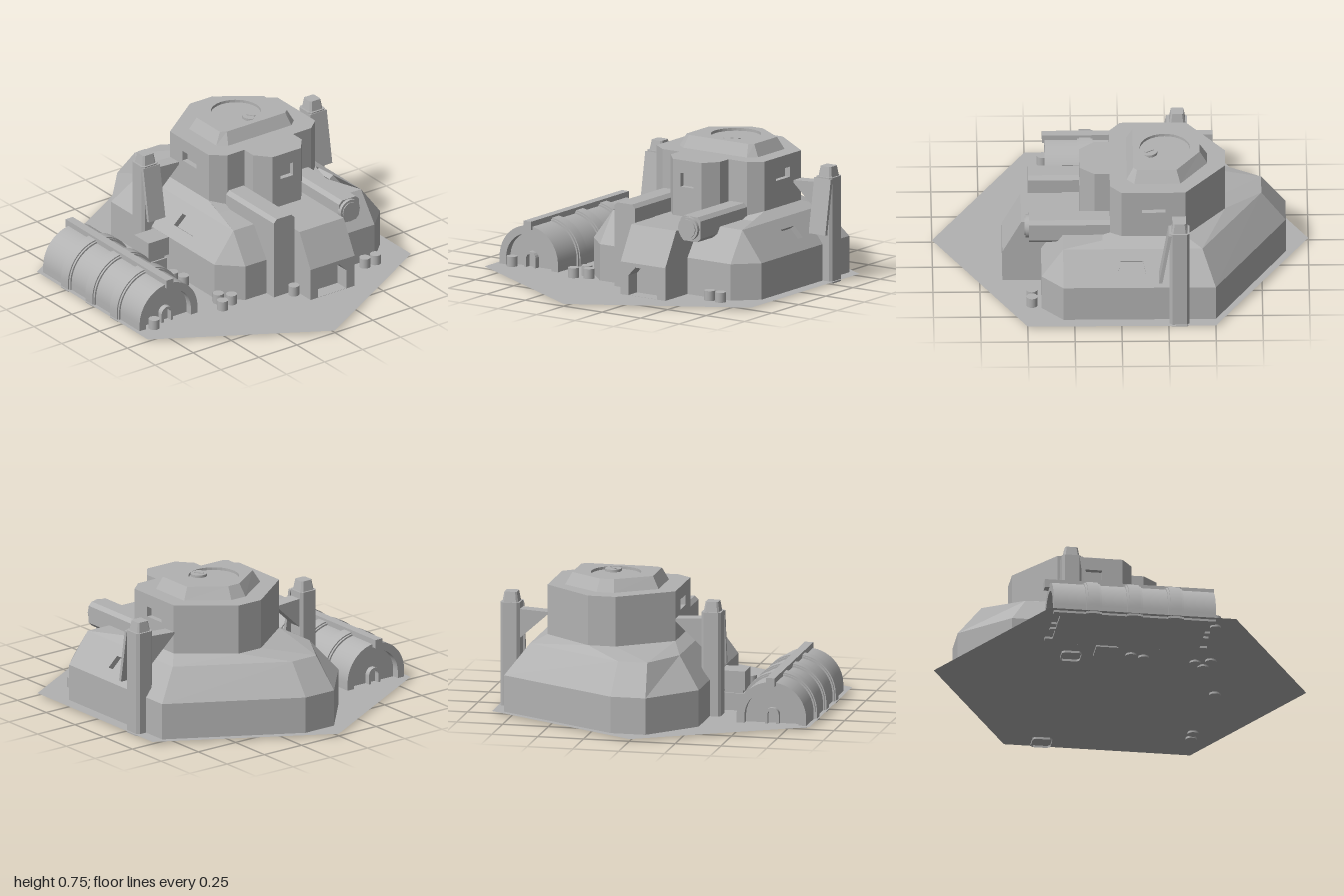
import * as THREE from 'three';
import { toCreasedNormals } from 'three/addons/utils/BufferGeometryUtils.js';

const concrete = new THREE.MeshStandardMaterial({ color: 0xb2b2b2, side: THREE.DoubleSide });
concrete.name = 'concreteGrey';
const V = (x, y, z) => new THREE.Vector3(x, y, z);

export function createModel() {
  const model = new THREE.Group();
  model.name = 'bunker';

  function add(name, geometry, x = 0, y = 0, z = 0) {
    const mesh = new THREE.Mesh(geometry, concrete);
    mesh.name = name;
    mesh.position.set(x, y, z);
    model.add(mesh);
    return mesh;
  }
  const box = (name, x0, x1, y0, y1, z0, z1) =>
    add(name, new THREE.BoxGeometry(x1 - x0, y1 - y0, z1 - z0), (x0 + x1) / 2, (y0 + y1) / 2, (z0 + z1) / 2);

  // One polygon, counter-clockwise from outside, with an optional recessed pocket
  function face(out, pts, hole, depth = 0.03) {
    const n = V(0, 0, 0);
    pts.forEach((p, i) => n.add(p.clone().cross(pts[(i + 1) % pts.length])));
    n.normalize();
    const u = pts[1].clone().sub(pts[0]).normalize();
    const v = n.clone().cross(u);
    const flat = (p) => new THREE.Vector2(p.dot(u), p.dot(v));
    let inner = [];
    if (hole) {
      inner = hole.slice();
      if (!THREE.ShapeUtils.isClockWise(inner.map(flat))) inner.reverse();
    }
    const all = [...pts, ...inner];
    THREE.ShapeUtils.triangulateShape(pts.map(flat), hole ? [inner.map(flat)] : [])
      .forEach((t) => t.forEach((i) => out.push(all[i].x, all[i].y, all[i].z)));
    if (hole) {
      const back = inner.map((p) => p.clone().addScaledVector(n, -depth));
      inner.forEach((p, i) => {
        const j = (i + 1) % inner.length;
        face(out, [p, back[i], back[j], inner[j]].reverse());
      });
      face(out, back.slice().reverse());
    }
  }
  // Walls through a stack of rings; holes maps "level,side" to a pocket outline
  function loft(rings, holes = {}, topHole, topDepth) {
    const out = [];
    for (let k = 0; k + 1 < rings.length; k++) {
      const a = rings[k], b = rings[k + 1];
      a.forEach((p, i) => {
        const j = (i + 1) % a.length;
        face(out, [p, a[j], b[j], b[i]], holes[k + ',' + i]);
      });
    }
    face(out, rings[rings.length - 1], topHole, topDepth);
    const g = new THREE.BufferGeometry();
    g.setAttribute('position', new THREE.Float32BufferAttribute(out, 3));
    g.computeVertexNormals();
    return g;
  }
  const ring = (pts, y) => pts.map(([x, z]) => V(x, y, z));

  // Extrude a (z, y) outline from x0 to x1
  function extrudeX(name, pts, x0, x1) {
    const shape = new THREE.Shape(pts.map(([z, y]) => new THREE.Vector2(-z, y)));
    const g = new THREE.ExtrudeGeometry(shape, { depth: x1 - x0, bevelEnabled: false });
    g.rotateY(Math.PI / 2);
    return add(name, toCreasedNormals(g, 0.5), x0);
  }

  // Ground plate
  const plate = new THREE.CircleGeometry(1, 6);
  plate.rotateX(-Math.PI / 2);
  add('groundPlate', plate, 0, 0.012, 0);

  // Hull: upright walls, sloped shoulders, roof rising to the turret
  const base = [[-0.62, 0.29], [0.31, 0.29], [0.425, 0.17], [0.425, -0.68], [0.31, -0.8], [-0.5, -0.8], [-0.88, -0.13], [-0.88, 0.06]];
  const shoulder = [[-0.53, 0.165], [0.31, 0.165], [0.31, 0.165], [0.31, -0.675], [0.31, -0.675], [-0.43, -0.675], [-0.75, -0.12], [-0.75, 0.04]];
  const roof = [[-0.35, 0.1, 0.41], [0, 0.1, 0.41], [0.1, 0.1, 0.375], [0.1, -0.6, 0.375], [0, -0.6, 0.41], [-0.34, -0.6, 0.41], [-0.555, -0.33, 0.41], [-0.555, -0.18, 0.41]]
    .map(([x, z, y]) => V(x, y, z));
  const slopeVent = (xa, xb, edge, dir) => {
    const at = (x, y) => V(x, y, edge - dir * 0.125 * (y - 0.21) / 0.165);
    return [at(xa, 0.265), at(xb, 0.265), at(xb - 0.015, 0.325), at(xa + 0.015, 0.325)];
  };
  add('hull', loft([ring(base, 0.012), ring(base, 0.21), ring(shoulder, 0.375), roof], {
    '1,0': slopeVent(-0.11, 0.06, 0.29, 1),
    '1,4': slopeVent(-0.13, 0.02, -0.8, -1),
  }));

  // Turret with a window in the front, right and back
  const turret = [[-0.35, 0.1], [0, 0.1], [0.06, 0.02], [0.06, -0.09], [0.14, -0.09], [0.22, -0.16], [0.22, -0.345],
    [0.14, -0.41], [0.06, -0.41], [0.06, -0.53], [0, -0.6], [-0.34, -0.6], [-0.555, -0.33], [-0.555, -0.18]];
  const windowZ = (z) => [V(-0.235, 0.555, z), V(-0.11, 0.555, z), V(-0.11, 0.61, z), V(-0.235, 0.61, z)];
  add('turret', loft([ring(turret, 0.36), ring(turret, 0.68)], {
    '0,0': windowZ(0.1),
    '0,10': windowZ(-0.6),
    '0,5': [V(0.22, 0.535, -0.21), V(0.22, 0.535, -0.295), V(0.22, 0.61, -0.295), V(0.22, 0.61, -0.21)],
  }));

  // Turret cap with a sunken round hatch
  const capLow = [[-0.315, 0], [-0.07, 0], [-0.03, -0.05], [-0.03, -0.465], [-0.07, -0.51], [-0.315, -0.51], [-0.46, -0.305], [-0.46, -0.21]];
  const capHigh = [[-0.295, -0.035], [-0.085, -0.035], [-0.065, -0.065], [-0.065, -0.45], [-0.085, -0.475], [-0.295, -0.475], [-0.42, -0.295], [-0.42, -0.22]];
  const rim = Array.from({ length: 32 }, (_, i) => {
    const a = i / 32 * Math.PI * 2;
    return V(-0.235 + 0.134 * Math.cos(a), 0.745, -0.25 - 0.134 * Math.sin(a));
  });
  add('turretCap', loft([ring(capLow, 0.68), ring(capHigh, 0.745)], {}, rim, 0.015));
  add('hatchKnob', new THREE.CylinderGeometry(0.045, 0.045, 0.014, 20), -0.15, 0.737, -0.285);
  const handle = add('hatchHandle', new THREE.BoxGeometry(0.05, 0.006, 0.014), -0.15, 0.745, -0.285);
  handle.rotation.y = 0.6;

  // Entrance with an arched doorway
  const gate = (x, y) => [V(x, y, -0.11), V(x, y, -0.4)];
  const section = (x) => [[0.012, x], [0.19, x], [0.375, x - 0.1]];
  const [g0, g1, g2] = section(0.63).map(([y, x]) => gate(x, y));
  const [b0, b1, b2] = [0.012, 0.19, 0.375].map((y) => gate(0.05, y));
  const entrance = [];
  const door = [[-0.16, 0.013], [-0.345, 0.013], [-0.345, 0.12], [-0.3, 0.168], [-0.205, 0.168], [-0.16, 0.12]].map(([z, y]) => V(0.63, y, z));
  face(entrance, [...g0, g1[1], g1[0]], door, 0.08);
  face(entrance, [...g1, g2[1], g2[0]]);
  face(entrance, [...g2, b2[1], b2[0]]);
  face(entrance, [b0[0], g0[0], g1[0], g2[0], b2[0], b1[0]]);
  face(entrance, [b0[1], g0[1], g1[1], g2[1], b2[1], b1[1]].reverse());
  const entranceGeo = new THREE.BufferGeometry();
  entranceGeo.setAttribute('position', new THREE.Float32BufferAttribute(entrance, 3));
  entranceGeo.computeVertexNormals();
  add('entrance', entranceGeo);

  // Buttress on one side of the entrance, beam with a round end on the other
  extrudeX('buttress', [[0.03, 0.012], [0.03, 0.45], [0.01, 0.47], [-0.085, 0.47], [-0.105, 0.45], [-0.105, 0.012]], 0.06, 0.49);
  extrudeX('beam', [[-0.4, 0.34], [-0.4, 0.435], [-0.42, 0.455], [-0.51, 0.455], [-0.53, 0.435], [-0.53, 0.34], [-0.51, 0.32], [-0.42, 0.32]], 0.06, 0.49);
  const round = (name, r, x0, x1) => {
    const g = new THREE.CylinderGeometry(r, r, x1 - x0, 24);
    g.rotateZ(Math.PI / 2);
    add(name, g, (x0 + x1) / 2, 0.39, -0.46);
  };
  round('beamEnd', 0.063, 0.48, 0.508);
  round('beamEndDisc', 0.05, 0.5, 0.513);

  // Two posts joined to the turret by gusset bridges
  const octagon = (cx, cz, h, c) => [[-h + c, h], [h - c, h], [h, h - c], [h, -h + c], [h - c, -h], [-h + c, -h], [-h, -h + c], [-h, h - c]]
    .map(([x, z]) => [cx + x, cz + z]);
  for (const [zc, dir, wall] of [[0.295, 1, 0.09], [-0.803, -1, -0.59]]) {
    const x = -0.307, inner = zc - dir * 0.04;
    add('post', loft([ring(octagon(x, zc, 0.053, 0.014), 0), ring(octagon(x, zc, 0.053, 0.014), 0.575)]));
    add('postTop', loft([ring(octagon(x, zc, 0.043, 0.01), 0.575), ring(octagon(x, zc, 0.034, 0.008), 0.63)]));
    extrudeX('bridge', [[wall, 0.525], [wall, 0.53], [inner, 0.54], [inner, 0.37]], -0.343, -0.27);
    const panel = add('postPanel', new THREE.BoxGeometry(0.018, 0.3, 0.108), -0.232, 0.42, zc);
    panel.rotation.z = 0.17;
  }

  // Crate on its stand
  box('crateStand', -0.19, -0.075, 0, 0.105, 0.32, 0.445);
  box('crateNeck', -0.18, -0.085, 0.1, 0.13, 0.33, 0.43);
  box('crate', -0.2, -0.07, 0.125, 0.228, 0.312, 0.445);

  // Arched hut: open-ended shell, set-back end walls, ribs and ridge rail
  const arch = (r, cz = 0.653, cy = 0.05) => {
    const pts = [[cz - r, 0]];
    for (let i = 0; i <= 32; i++) {
      const a = Math.PI * (1 - i / 32);
      pts.push([cz + r * Math.cos(a), cy + r * Math.sin(a)]);
    }
    pts.push([cz + r, 0]);
    return pts;
  };
  extrudeX('hutShell', [...arch(0.19), ...arch(0.147).reverse()], -0.475, 0.395);
  extrudeX('hutEndWalls', arch(0.148), -0.435, 0.355);
  for (const x of [-0.26, -0.04, 0.18]) {
    extrudeX('hutRibBase', arch(0.199), x - 0.042, x + 0.042);
    extrudeX('hutRib', arch(0.206), x - 0.031, x + 0.031);
  }
  box('hutRail', -0.5, 0.408, 0.222, 0.268, 0.63, 0.677);
  const frame = [...arch(0.038, 0.653, 0.06), ...arch(0.024, 0.653, 0.06).reverse()];
  extrudeX('hutDoorFrame', frame, 0.35, 0.385);
  extrudeX('hutDoorFrame', frame, -0.465, -0.43);

  // Drums standing on the plate
  for (const [x, z] of [[0.475, -0.65], [0.475, -0.58], [0.52, -0.08], [0.41, 0.25], [0.36, 0.3], [0.44, 0.33], [0.08, 0.325], [0.01, 0.345], [0.405, 0.755]]) {
    add('drum', new THREE.CylinderGeometry(0.03, 0.03, 0.065, 16), x, 0.0335, z);
  }
  return model;
}
